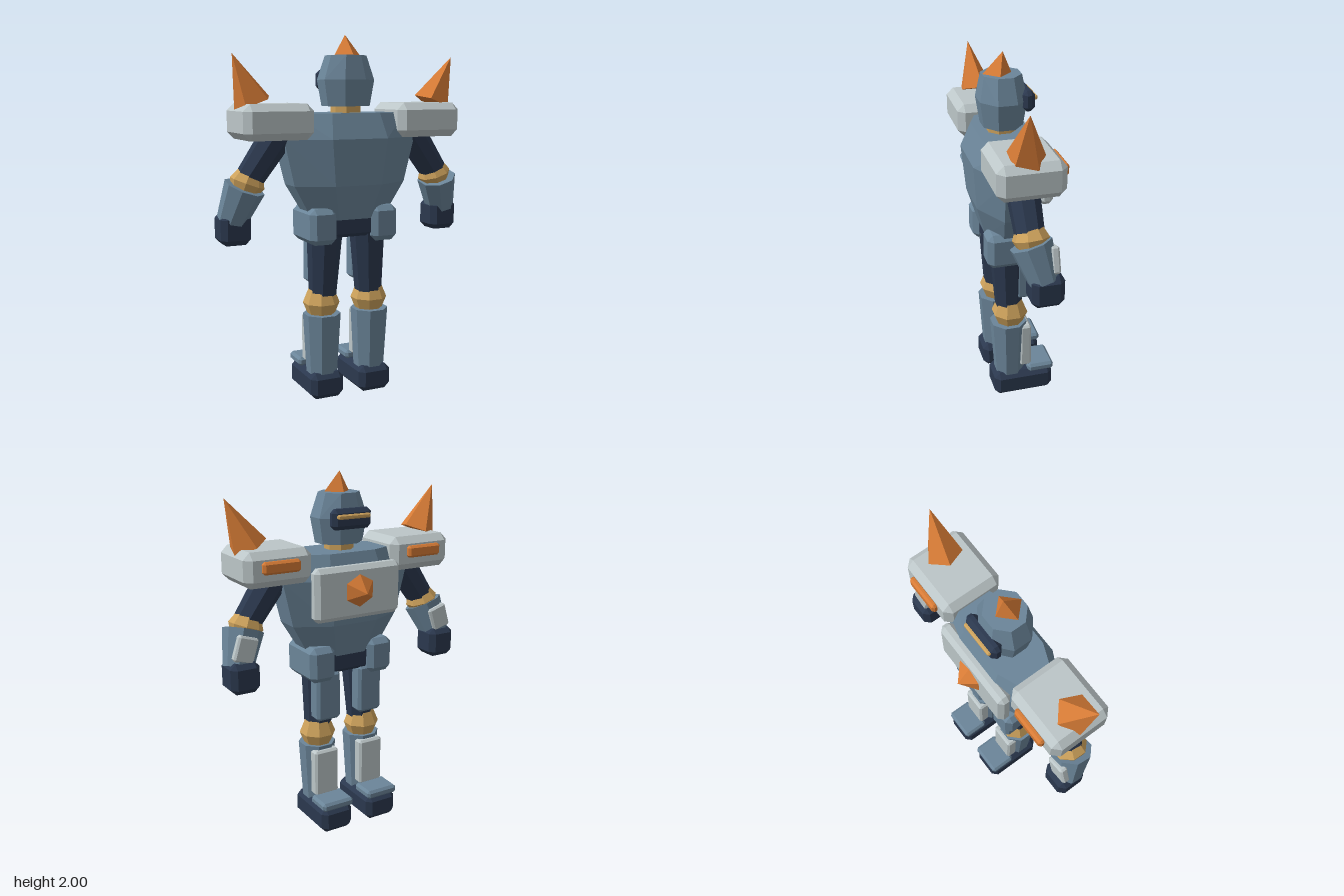
import * as THREE from 'three';
import { ConvexGeometry } from 'three/addons/geometries/ConvexGeometry.js';

const V = (x, y, z) => new THREE.Vector3(x, y, z);

const material = (name, color) => {
  const m = new THREE.MeshStandardMaterial({ color });
  m.name = name;
  return m;
};

// Box with flat chamfers on every edge
function chamferBox(w, h, d, c) {
  const pts = [];
  for (const x of [-1, 1]) for (const y of [-1, 1]) for (const z of [-1, 1]) {
    const a = w / 2, b = h / 2, e = d / 2;
    pts.push(V(x * a, y * (b - c), z * (e - c)), V(x * (a - c), y * b, z * (e - c)), V(x * (a - c), y * (b - c), z * e));
  }
  return new ConvexGeometry(pts);
}

// Eight-sided solid from rings [y, half width, half depth], flat sides facing the axes
function octSolid(rings) {
  const pts = [];
  for (const [y, hx, hz] of rings) {
    for (let i = 0; i < 8; i++) {
      const a = (i + 0.5) * Math.PI / 4, k = 1 / Math.cos(Math.PI / 8);
      pts.push(V(hx * k * Math.cos(a), y, hz * k * Math.sin(a)));
    }
  }
  return new ConvexGeometry(pts);
}

export function createModel() {
  const steel = material('steel blue', 0x6b8599);
  const dark = material('dark navy', 0x2b384e);
  const pale = material('pale grey', 0xbcc6c8);
  const gold = material('joint gold', 0xcda25c);
  const orange = material('orange', 0xd87c36);

  const root = new THREE.Group();
  root.name = 'robot';

  const add = (name, geo, mat, pos = [0, 0, 0]) => {
    const m = new THREE.Mesh(geo, mat);
    m.name = name;
    m.position.set(...pos);
    root.add(m);
    return m;
  };
  // Chamfered box given by its limits
  const box = (name, mat, [x0, x1], [y0, y1], [z0, z1], c) =>
    add(name, chamferBox(Math.abs(x1 - x0), y1 - y0, z1 - z0, c), mat, [(x0 + x1) / 2, (y0 + y1) / 2, (z0 + z1) / 2]);
  // Tapered eight-sided segment between two points
  const limb = (name, mat, a, b, ra, rb, mid) => {
    const A = V(...a), B = V(...b), len = A.distanceTo(B);
    const rings = [[0, ra, ra], [len, rb, rb]];
    if (mid) rings.push([len / 2, mid, mid]);
    const m = add(name, octSolid(rings), mat, a);
    m.quaternion.setFromUnitVectors(V(0, 1, 0), B.sub(A).normalize());
    return m;
  };

  // Body
  add('torso', octSolid([[1.01, 0.22, 0.12], [1.2, 0.33, 0.175], [1.45, 0.39, 0.195], [1.585, 0.34, 0.14]]), steel, [0, 0, 0.05]);
  box('pelvis', dark, [-0.2, 0.2], [0.91, 1.04], [-0.07, 0.16], 0.02);
  box('chestPlate', pale, [-0.265, 0.265], [1.235, 1.525], [-0.165, -0.085], 0.025);
  const gem = [V(0, 1.385, -0.24)];
  for (let i = 0; i < 6; i++) {
    const a = i * Math.PI / 3;
    gem.push(V(0.1 * Math.sin(a), 1.39 + 0.095 * Math.cos(a), -0.16));
  }
  add('chestGem', new ConvexGeometry(gem), orange);

  // Head
  add('neck', octSolid([[1.56, 0.075, 0.075], [1.64, 0.075, 0.075]]), gold, [0, 0, 0.055]);
  add('head', octSolid([[1.62, 0.125, 0.105], [1.76, 0.148, 0.125], [1.89, 0.105, 0.1]]), steel, [0, 0, 0.055]);
  box('visor', dark, [-0.12, 0.12], [1.705, 1.815], [-0.1, -0.035], 0.022);
  box('visorStrip', gold, [-0.1, 0.1], [1.763, 1.788], [-0.115, -0.09], 0.007);
  add('headSpike', new ConvexGeometry([
    V(0.078, 1.887, 0.077), V(-0.078, 1.887, 0.077), V(0, 1.887, -0.001), V(0, 1.887, 0.155), V(0, 2, 0.045),
  ]), orange);

  for (const s of [1, -1]) {
    const side = s > 0 ? 'left' : 'right';
    const X = (a, b) => [s * a, s * b];

    // Shoulder
    box(side + 'ShoulderPad', pale, X(0.247, 0.633), [1.45, 1.637], [-0.115, 0.232], 0.038);
    box(side + 'ShoulderStrip', orange, X(0.335, 0.548), [1.525, 1.59], [-0.143, -0.105], 0.012);
    const spike = [V(s * 0.65, 1.89, 0.087)];
    for (let i = 0; i < 5; i++) {
      const a = (i * 72 - 14) * Math.PI / 180;
      const dx = 0.098 * Math.cos(a), dz = 0.098 * Math.sin(a);
      spike.push(V(s * (0.535 - dx), 1.64 + 0.38 * dx, 0.07 + dz));
    }
    add(side + 'ShoulderSpike', new ConvexGeometry(spike), orange);

    // Arm
    limb(side + 'UpperArm', dark, [s * 0.57, 1.235, 0.058], [s * 0.36, 1.53, 0.06], 0.07, 0.085);
    limb(side + 'Elbow', gold, [s * 0.592, 1.165, 0.05], [s * 0.548, 1.285, 0.058], 0.06, 0.06, 0.088);
    limb(side + 'Forearm', steel, [s * 0.645, 1.02, 0.005], [s * 0.585, 1.205, 0.058], 0.075, 0.103);
    const guard = add(side + 'ForearmGuard', chamferBox(0.115, 0.14, 0.045, 0.01), pale, [s * 0.623, 1.13, -0.045]);
    guard.rotation.z = s * 0.3;
    box(side + 'Hand', dark, X(0.552, 0.718), [0.895, 1.065], [-0.09, 0.08], 0.03);

    // Leg
    box(side + 'Hip', steel, X(0.105, 0.262), [0.88, 1.078], [-0.105, 0.193], 0.03);
    limb(side + 'Thigh', dark, [s * 0.143, 0.56, 0.055], [s * 0.13, 0.95, 0.06], 0.07, 0.093);
    box(side + 'ThighGuard', steel, X(0.06, 0.21), [0.64, 0.92], [-0.07, 0.025], 0.016);
    limb(side + 'Knee', gold, [s * 0.148, 0.455, 0.05], [s * 0.148, 0.615, 0.05], 0.065, 0.065, 0.095);
    limb(side + 'Shin', steel, [s * 0.148, 0.13, 0.055], [s * 0.148, 0.475, 0.058], 0.08, 0.098);
    box(side + 'ShinGuard', pale, X(0.073, 0.223), [0.18, 0.455], [-0.063, 0.005], 0.012);
    box(side + 'Foot', dark, X(0.05, 0.246), [0, 0.147], [-0.19, 0.157], 0.03);
    box(side + 'ToeCap', steel, X(0.05, 0.246), [0.14, 0.19], [-0.193, -0.04], 0.014);
  }
  return root;
}
